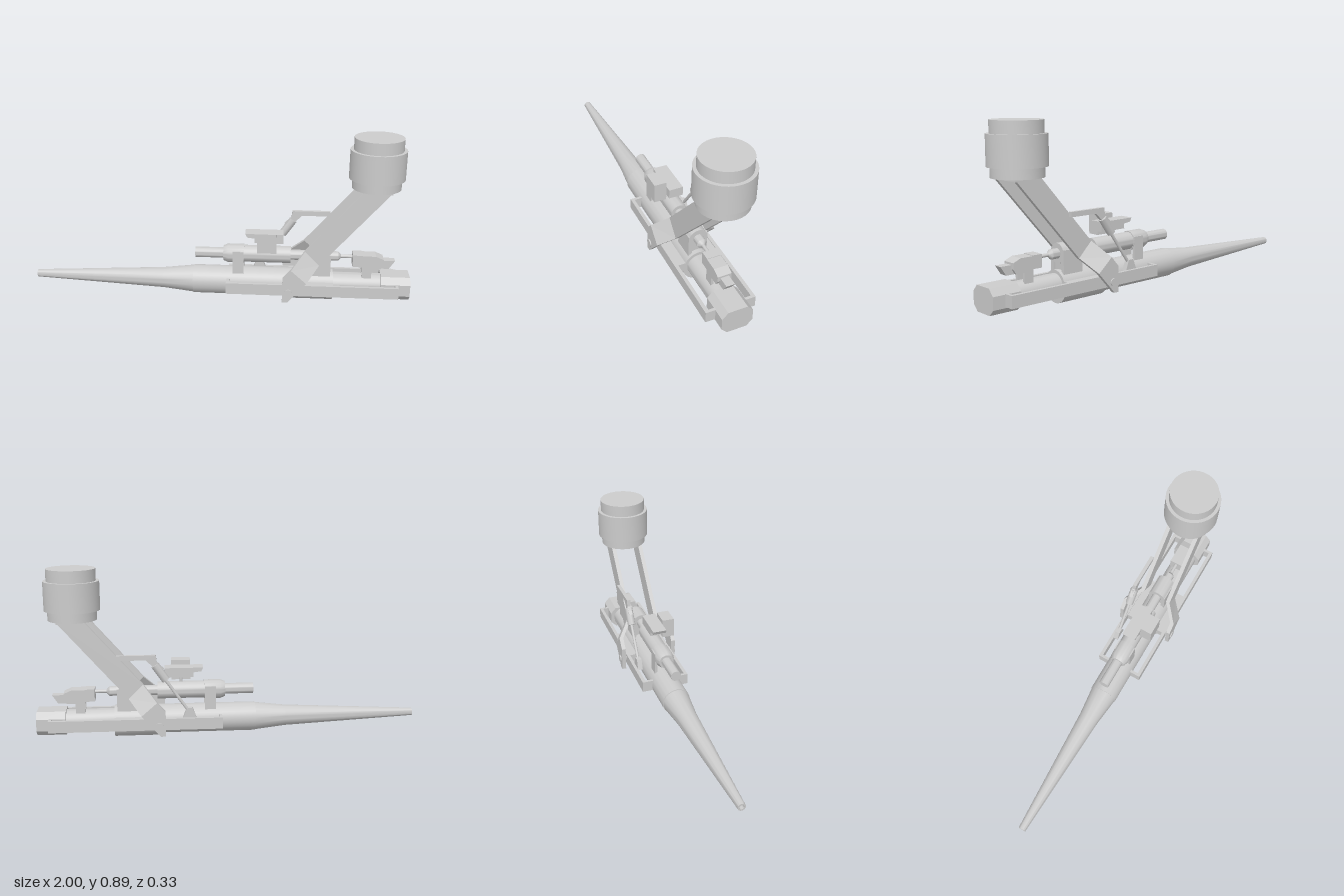
import * as THREE from 'three';
import { toCreasedNormals } from 'three/addons/utils/BufferGeometryUtils.js';

export function createModel() {
  const model = new THREE.Group();
  const mat = new THREE.MeshStandardMaterial({ color: 0xcccccc, side: THREE.DoubleSide });

  function add(name, geo, x = 0, y = 0, z = 0) {
    const mesh = new THREE.Mesh(geo, mat);
    mesh.name = name;
    mesh.position.set(x, y, z);
    model.add(mesh);
    return mesh;
  }
  // box given by its limits
  const box = (name, x0, x1, y0, y1, z0, z1) =>
    add(name, new THREE.BoxGeometry(x1 - x0, y1 - y0, z1 - z0), (x0 + x1) / 2, (y0 + y1) / 2, (z0 + z1) / 2);
  // turned part along x from [x, radius] pairs
  function turned(name, profile, y, segments = 40, start = 0, sweep = Math.PI * 2) {
    const pts = profile.map(([x, r]) => new THREE.Vector2(r, x));
    const geo = new THREE.LatheGeometry(pts, segments, start, sweep).rotateZ(-Math.PI / 2);
    return add(name, toCreasedNormals(geo, 0.5), 0, y);
  }
  // side outline in x, y extruded between two depths
  function plate(name, outline, z0, z1) {
    const shape = new THREE.Shape(outline.map(p => new THREE.Vector2(...p)));
    return add(name, new THREE.ExtrudeGeometry(shape, { depth: z1 - z0, bevelEnabled: false }), 0, 0, z0);
  }
  // round bar between two points
  function rod(name, a, b, r, segments = 16) {
    const p = new THREE.Vector3(...a), q = new THREE.Vector3(...b);
    const mesh = add(name, new THREE.CylinderGeometry(r, r, p.distanceTo(q), segments));
    mesh.position.copy(p).lerp(q, 0.5);
    mesh.quaternion.setFromUnitVectors(new THREE.Vector3(0, 1, 0), q.sub(p).normalize());
    return mesh;
  }

  // Barrel with hollow muzzle, sleeve and breech
  turned('barrel', [[-0.9, 0], [-0.9, 0.012], [-1, 0.012], [-1, 0.02], [-0.3, 0.055], [-0.14, 0.073],
    [-0.14, 0.076], [0.6, 0.076], [0.6, 0.06], [0.86, 0.06], [0.86, 0]], 0.09);
  const breech = [[0.03, -0.05], [0.06, -0.08], [0.122, -0.08], [0.155, -0.05],
    [0.155, 0.05], [0.122, 0.08], [0.06, 0.08], [0.03, 0.05]];
  const breechShape = new THREE.Shape(breech.map(([y, z]) => new THREE.Vector2(-z, y)));
  add('breechBlock', new THREE.ExtrudeGeometry(breechShape, { depth: 0.15, bevelEnabled: false })
    .rotateY(Math.PI / 2), 0.85);

  // Half-round cradle under the sleeve
  turned('cradle', [[0.34, 0.07], [0.34, 0.083], [0.6, 0.083], [0.6, 0.07]], 0.085, 24, 0, Math.PI)
    .rotation.x = Math.PI / 2;
  model.children.at(-1).rotation.x = orientDown(model.children.at(-1));

  // Parts on both sides
  const arm = [ // front edge x, y, back edge x, y, outer z
    [0.335, 0.04, 0.362, 0.04, 0.16], [0.335, 0.17, 0.399, 0.083, 0.16], [0.378, 0.22, 0.458, 0.15, 0.16],
    [0.448, 0.30, 0.523, 0.225, 0.09], [0.735, 0.63, 0.875, 0.63, 0.09]];
  for (const s of [1, -1]) {
    const side = s > 0 ? 'left' : 'right';
    const sideBox = (name, x0, x1, y0, y1, z0, z1) =>
      box(side + name, x0, x1, y0, y1, s > 0 ? z0 : -z1, s > 0 ? z1 : -z0);
    add(side + 'SupportArm', armGeometry(arm, 0.022, s));
    sideBox('Rail', 0.04, 0.935, 0.065, 0.125, 0.112, 0.13);
    sideBox('RailFrontEnd', 0.04, 0.055, 0.065, 0.125, 0.07, 0.113);
    sideBox('RailRearEnd', 0.92, 0.935, 0.065, 0.125, 0.07, 0.113);
    sideBox('RailBracket', 0.34, 0.6, 0.068, 0.12, 0.07, 0.113);
    rod(side + 'Trunnion', [0.367, 0.095, s * 0.07], [0.367, 0.095, s * 0.166], 0.02, 24);
    sideBox('FrontSaddle', 0.07, 0.128, 0.13, 0.27, 0.036, 0.05);
    sideBox('RearSaddle', 0.47, 0.585, 0.13, 0.265, 0.03, 0.05);
    sideBox('RearPost', 0.75, 0.8, 0.1, 0.2, 0.022, 0.036);
  }

  // Drum on top of the arms
  box('armCrossPlate', 0.735, 0.875, 0.62, 0.632, -0.09, 0.09);
  const drum = [[0, 0.63], [0.125, 0.63], [0.125, 0.68], [0.142, 0.68], [0.142, 0.83],
    [0.125, 0.83], [0.125, 0.892], [0, 0.892]].map(p => new THREE.Vector2(...p));
  add('drum', toCreasedNormals(new THREE.LatheGeometry(drum, 48), 0.5), 0.8);

  // Recoil cylinder above the barrel
  turned('recoilCylinder', [[-0.13, 0], [-0.13, 0.028], [0.02, 0.028], [0.02, 0.04], [0.045, 0.05],
    [0.13, 0.05], [0.13, 0.045], [0.375, 0.045], [0.375, 0.027], [0.47, 0.027], [0.47, 0.05],
    [0.585, 0.05], [0.585, 0.025], [0.625, 0.025], [0.64, 0.009], [0.71, 0.009], [0.71, 0]], 0.245);
  box('rearSaddleWeb', 0.48, 0.575, 0.13, 0.24, -0.035, 0.035);

  // Rear block with slanted tail
  box('rearBlock', 0.7, 0.75, 0.2, 0.265, -0.036, 0.036);
  plate('rearBlockBody', [[0.75, 0.19], [0.845, 0.19], [0.86, 0.215], [0.86, 0.245], [0.82, 0.262], [0.75, 0.262]], -0.036, 0.036);
  plate('rearBlockTail', [[0.84, 0.19], [0.89, 0.19], [0.92, 0.235], [0.84, 0.235]], -0.022, 0.022);

  // Sight
  box('sightHousing', 0.2, 0.3, 0.29, 0.395, 0.04, 0.105);
  plate('sightBody', [[0.185, 0.32], [0.335, 0.32], [0.335, 0.37], [0.135, 0.37], [0.145, 0.35], [0.185, 0.345]], -0.035, 0.04);
  rod('sightStem', [0.25, 0.27, 0], [0.25, 0.33, 0], 0.008);

  // Elevating lever on the right side
  plate('leverHandle', [[0.34, 0.385], [0.385, 0.385], [0.43, 0.432], [0.58, 0.432], [0.58, 0.457],
    [0.38, 0.457], [0.375, 0.42]], -0.109, -0.09);
  rod('leverRod', [0.21, 0.15, -0.1], [0.36, 0.365, -0.1], 0.008);
  rod('leverSocket', [0.33, 0.325, -0.1], [0.385, 0.405, -0.1], 0.022, 8);
  plate('leverFoot', [[0.175, 0.12], [0.245, 0.12], [0.225, 0.175], [0.195, 0.175]], -0.114, -0.087);
  return model;
}

// Turn a half-round part until it opens upward
function orientDown(mesh) {
  const centre = new THREE.Vector3();
  mesh.rotation.x = 0;
  mesh.geometry.computeBoundingBox();
  mesh.geometry.boundingBox.getCenter(centre);
  return -Math.PI / 2 - Math.atan2(centre.z, centre.y) + Math.PI / 2 + Math.PI;
}

// Bent plate through the given sections, mirrored by s
function armGeometry(sections, thickness, s) {
  const rings = sections.map(([fx, fy, bx, by, z]) => [[fx, fy, s * z], [bx, by, s * z],
    [bx, by, s * (z - thickness)], [fx, fy, s * (z - thickness)]]);
  const pos = [];
  const quad = (a, b, c, d) => pos.push(...(s > 0 ? [a, b, c, a, c, d] : [a, c, b, a, d, c]).flat());
  for (let i = 0; i < rings.length - 1; i++)
    for (let k = 0; k < 4; k++) {
      const n = (k + 1) % 4;
      quad(rings[i][k], rings[i][n], rings[i + 1][n], rings[i + 1][k]);
    }
  quad(...rings.at(-1));
  quad(...[...rings[0]].reverse());
  const geo = new THREE.BufferGeometry();
  geo.setAttribute('position', new THREE.Float32BufferAttribute(pos, 3));
  geo.computeVertexNormals();
  return geo;
}
